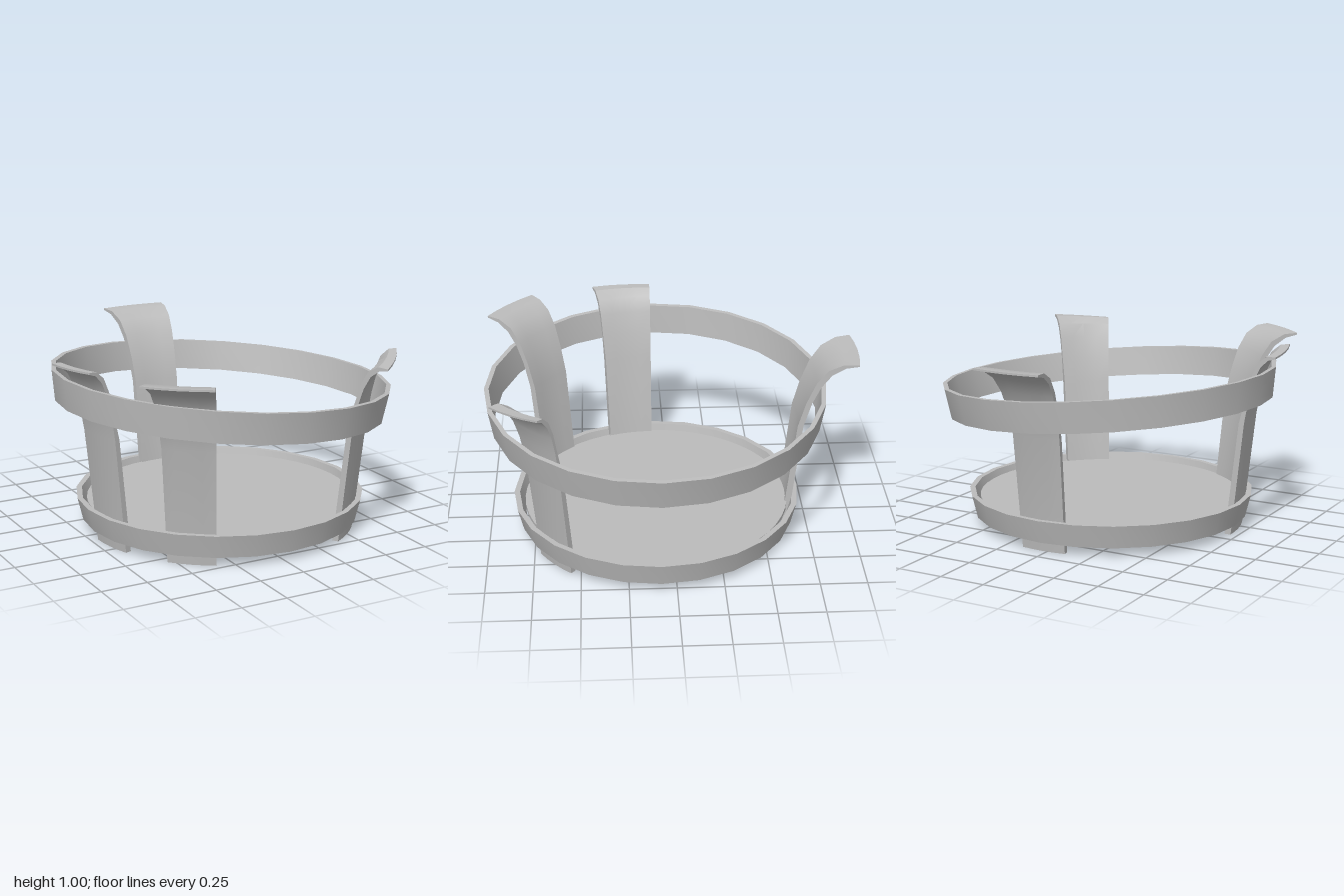
import * as THREE from 'three';
import { toCreasedNormals } from 'three/addons/utils/BufferGeometryUtils.js';

const CX = 0.025, CZ = 0.08;
const DEG = Math.PI / 180;

// Tapered band: closed ring section turned around y, base at y = 0
function hoop(name, rBottom, rTop, height, thickness, material) {
  const profile = [
    [rBottom, 0], [rTop, height], [rTop - thickness, height], [rBottom - thickness, 0], [rBottom, 0],
  ].map(([r, y]) => new THREE.Vector2(r, y));
  const mesh = new THREE.Mesh(toCreasedNormals(new THREE.LatheGeometry(profile, 24), 0.5), material);
  mesh.name = name;
  return mesh;
}

// Stave side profile as [radius, height], with the tip flaring outward
const OUTER = [[0.735, 0], [0.80, 0.62], [0.84, 0.76], [0.885, 0.86], [0.94, 0.935], [1.01, 0.98], [1.08, 0.995]];
const INNER = [[0.70, 0], [0.77, 0.62], [0.81, 0.76], [0.86, 0.88], [0.92, 0.96], [1.0, 1.0], [1.08, 1.005]];
const FLARE = 0.8, TIP = 1.08;

// Stave: profile extruded, then bent 20 degrees around the barrel axis
function stave(name, angle, tipA, tipB, dropB, material) {
  const points = [...OUTER, ...[...INNER].reverse()].map(([r, y]) => new THREE.Vector2(r, y));
  const geometry = new THREE.ExtrudeGeometry(new THREE.Shape(points), { depth: 1, steps: 4, bevelEnabled: false });
  const p = geometry.attributes.position;
  for (let i = 0; i < p.count; i++) {
    let r = p.getX(i), y = p.getY(i);
    const u = p.getZ(i);
    const theta = (angle - 10 + 20 * u) * DEG;
    if (r > FLARE) {
      // uneven tips: shorten and lower the flare across the width
      const k = (r - FLARE) / (TIP - FLARE);
      r = FLARE + k * (THREE.MathUtils.lerp(tipA, tipB, u) - FLARE);
      y -= dropB * u * k;
    }
    p.setXYZ(i, CX - r * Math.sin(theta), y, CZ + r * Math.cos(theta));
  }
  const mesh = new THREE.Mesh(toCreasedNormals(geometry, 0.5), material);
  mesh.name = name;
  return mesh;
}

export function createModel() {
  const group = new THREE.Group();
  group.name = 'brokenBarrel';
  const grey = new THREE.MeshStandardMaterial({ color: 0xbcbcbc });
  grey.name = 'plainGrey';

  // Barrel floor
  const floor = new THREE.Mesh(new THREE.CylinderGeometry(0.727, 0.727, 0.02, 48), grey);
  floor.name = 'floor';
  floor.position.set(CX, 0.135, CZ);
  group.add(floor);

  // Level lower hoop and slipped upper hoop
  const lower = hoop('lowerHoop', 0.757, 0.787, 0.125, 0.03, grey);
  lower.position.set(CX, 0.05, CZ);
  const upper = hoop('upperHoop', 0.892, 0.918, 0.165, 0.025, grey);
  upper.position.set(0.022, 0.66, CZ);
  upper.rotation.z = -0.0765;
  group.add(lower, upper);

  // Remaining staves
  group.add(
    stave('backStave', 180, 1.08, 1.08, 0, grey),
    stave('rightStave', 80, 0.97, 0.97, 0.015, grey),
    stave('frontRightStave', 40, 1.06, 1.06, 0, grey),
    stave('frontLeftStave', -40, 0.945, 0.99, 0.035, grey),
  );
  return group;
}
